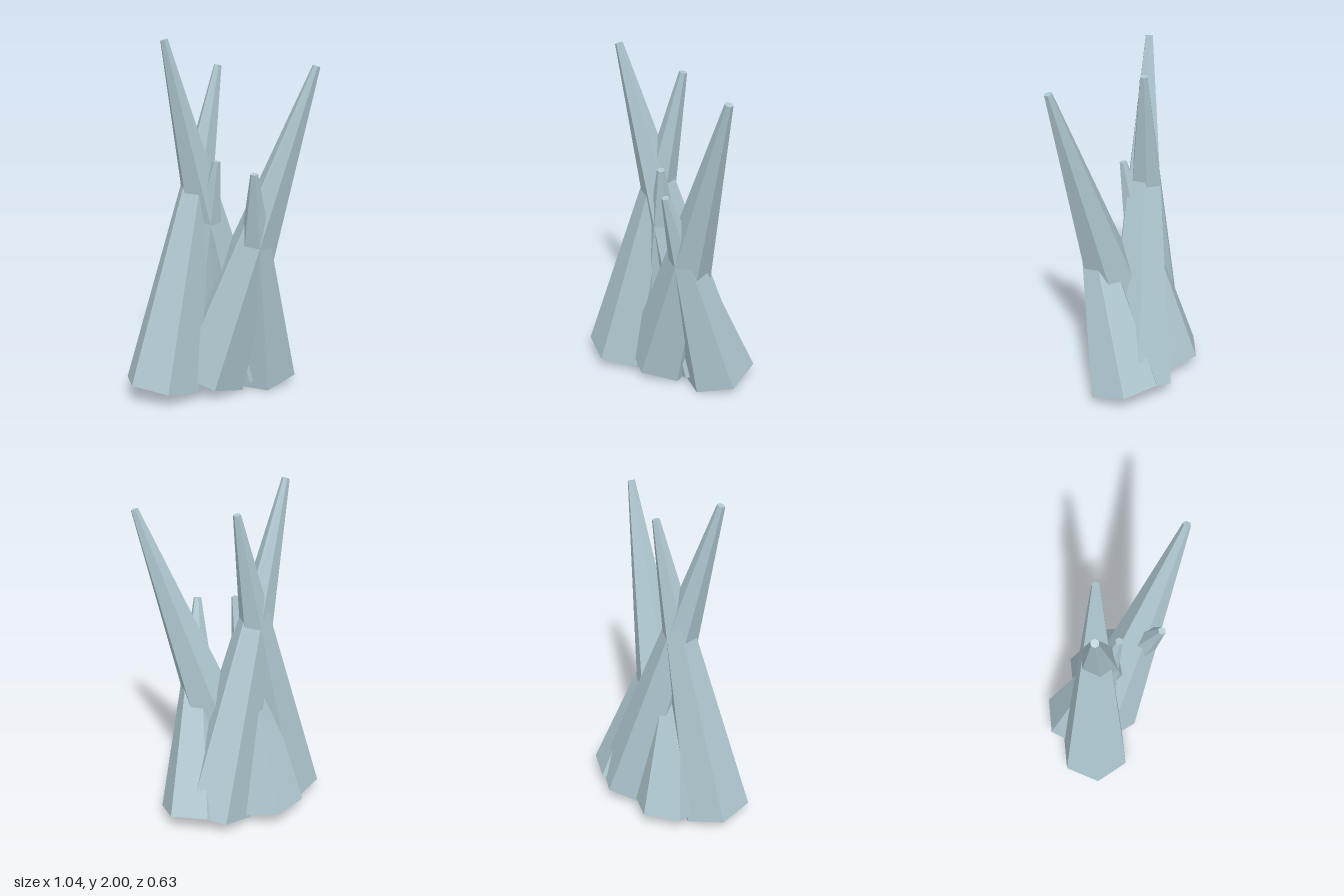
import * as THREE from 'three';

const UP = new THREE.Vector3(0, 1, 0);

// Tapered six-sided shard running from the centre of its base to the centre of its tip
function makeShard(name, base, tip, material) {
  const from = new THREE.Vector3(...base);
  const to = new THREE.Vector3(...tip);
  const axis = to.clone().sub(from);
  const mesh = new THREE.Mesh(new THREE.CylinderGeometry(0.022, 0.22, axis.length(), 6), material);
  mesh.name = name;
  mesh.position.copy(from).add(to).multiplyScalar(0.5);
  mesh.quaternion.setFromUnitVectors(UP, axis.normalize());
  return mesh;
}

export function createModel() {
  const group = new THREE.Group();
  group.name = 'crystalCluster';

  const crystal = new THREE.MeshStandardMaterial({ color: 0xaec6cf, flatShading: true });
  crystal.name = 'pale blue crystal';

  // Five shards crossing one another: name, base centre, tip centre
  const shards = [
    ['tallestShard', [0.165, 0.07, -0.09], [-0.31, 1.995, 0.1]],
    ['rightLeaningBackShard', [-0.335, 0.06, 0.095], [0.013, 1.86, -0.043]],
    ['outwardShard', [-0.06, 0.085, 0.04], [0.503, 1.855, 0.235]],
    ['middleShortShard', [-0.16, 0.065, -0.1], [-0.023, 1.335, 0.108]],
    ['frontShortShard', [0.267, 0.065, -0.06], [0.148, 1.28, 0.288]],
  ];
  for (const [name, base, tip] of shards) group.add(makeShard(name, base, tip, crystal));

  return group;
}
